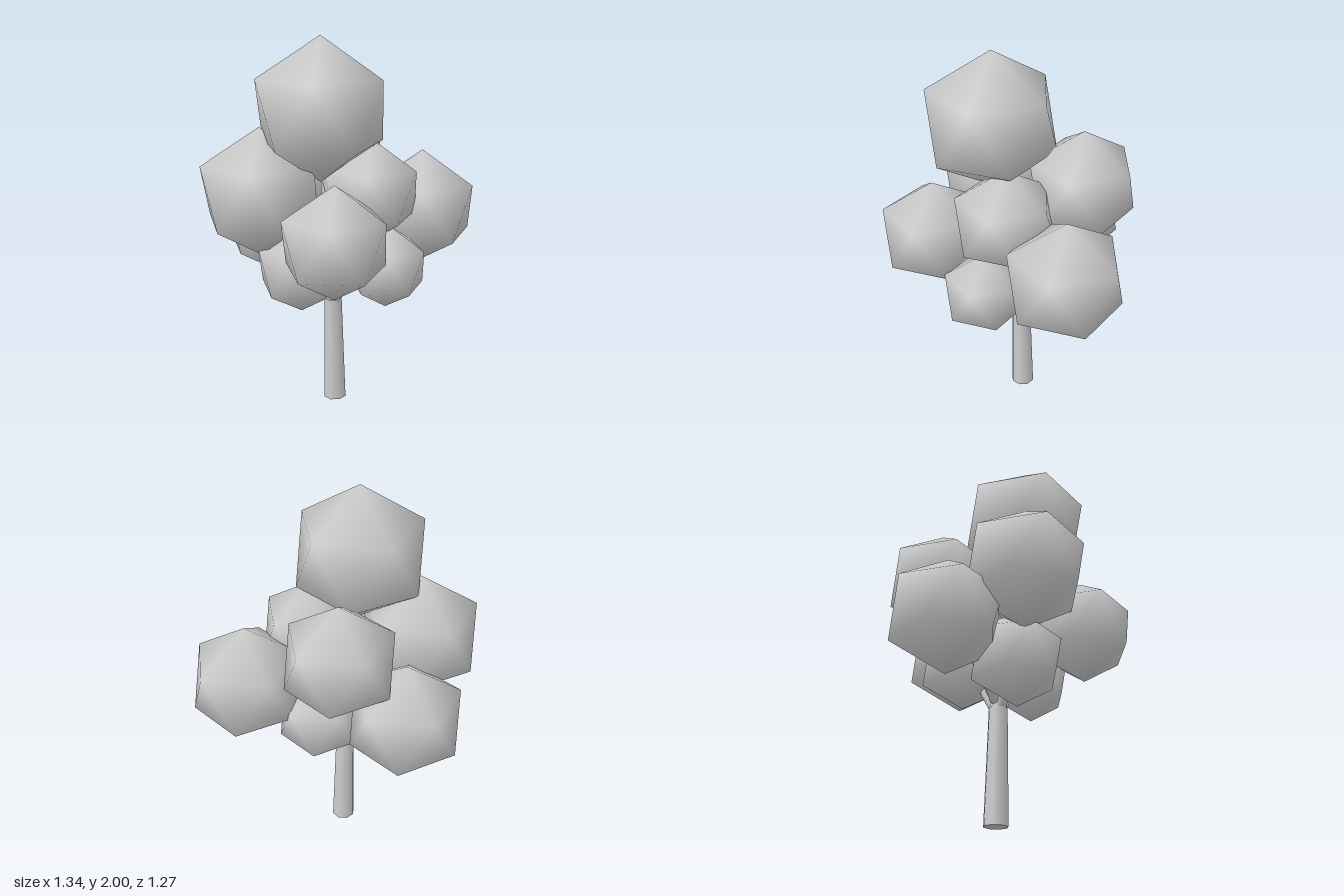
import * as THREE from 'three';

const V = (x, y, z) => new THREE.Vector3(x, y, z);

// Smooth-shaded icosahedron with one corner straight up and an upper-ring corner toward +x
function cloudGeometry(r) {
  const g = new THREE.IcosahedronGeometry(r, 0);
  g.rotateX(-Math.atan((1 + Math.sqrt(5)) / 2));
  // turn so that the first upper-ring corner faces +x
  const p = g.attributes.position;
  for (let i = 0; i < p.count; i++) {
    if (p.getY(i) > 0.2 * r && p.getY(i) < 0.8 * r) {
      g.rotateY(Math.atan2(p.getZ(i), p.getX(i)));
      break;
    }
  }
  const n = g.attributes.normal, v = V(0, 0, 0);
  for (let i = 0; i < p.count; i++) {
    v.fromBufferAttribute(p, i).normalize();
    n.setXYZ(i, v.x, v.y, v.z);
  }
  return g;
}

// Tapered limb between two points
function limb(name, a, b, ra, rb, sides, material) {
  const dir = b.clone().sub(a);
  const mesh = new THREE.Mesh(new THREE.CylinderGeometry(rb, ra, dir.length(), sides), material);
  mesh.name = name;
  mesh.position.copy(a).add(b).multiplyScalar(0.5);
  mesh.quaternion.setFromUnitVectors(V(0, 1, 0), dir.normalize());
  return mesh;
}

export function createModel() {
  const tree = new THREE.Group();
  tree.name = 'tree';
  const grey = new THREE.MeshStandardMaterial({ color: 0xcccccc });
  grey.name = 'pale grey';

  // Foliage clumps: x, y, z, radius
  const clumps = [
    [0.01, 1.64, 0.13, 0.36],    // crown
    [-0.29, 1.215, 0.21, 0.335], // front, -x
    [0.19, 1.055, 0.39, 0.287],  // front, +x
    [0.39, 1.065, -0.37, 0.312], // back, +x
    [0.22, 1.22, -0.01, 0.275],  // middle, +x
    [0.34, 0.855, 0.06, 0.222],  // low, +x
    [-0.39, 0.96, -0.165, 0.31], // low, -x
    [-0.11, 0.81, 0.11, 0.255],  // low front
    [-0.1, 1.3, -0.31, 0.3],     // back
    [0.05, 0.87, -0.23, 0.237],  // low back
  ];
  const foliage = new THREE.Group();
  foliage.name = 'foliage';
  for (const [x, y, z, r] of clumps) {
    const clump = new THREE.Mesh(cloudGeometry(r), grey);
    clump.name = 'foliageClump';
    clump.position.set(x, y, z);
    foliage.add(clump);
  }
  tree.add(foliage);

  // Trunk, continuing thinner up into the crown
  const fork = V(0.015, 0.6, -0.025);
  tree.add(limb('trunk', V(0.022, 0.006, -0.038), fork, 0.064, 0.05, 8, grey));
  tree.add(limb('upperTrunk', fork, V(0.01, 1.4, 0.08), 0.045, 0.025, 8, grey));

  // Branches: start height on the trunk and end point
  const branches = [
    [0.57, V(0.17, 0.86, 0.03)],
    [0.57, V(0.05, 0.82, -0.17)],
    [0.59, V(-0.09, 0.78, 0.08)],
    [0.62, V(-0.28, 0.88, -0.11)],
    [0.66, V(0.17, 1.0, 0.3)],
    [0.7, V(0.28, 0.98, -0.28)],
    [0.8, V(-0.22, 1.12, 0.15)],
    [0.85, V(0.18, 1.15, 0.0)],
    [0.9, V(-0.07, 1.2, -0.22)],
  ];
  for (const [y, end] of branches) {
    tree.add(limb('branch', V(0.015, y, -0.02), end, 0.034, 0.018, 6, grey));
  }
  return tree;
}
